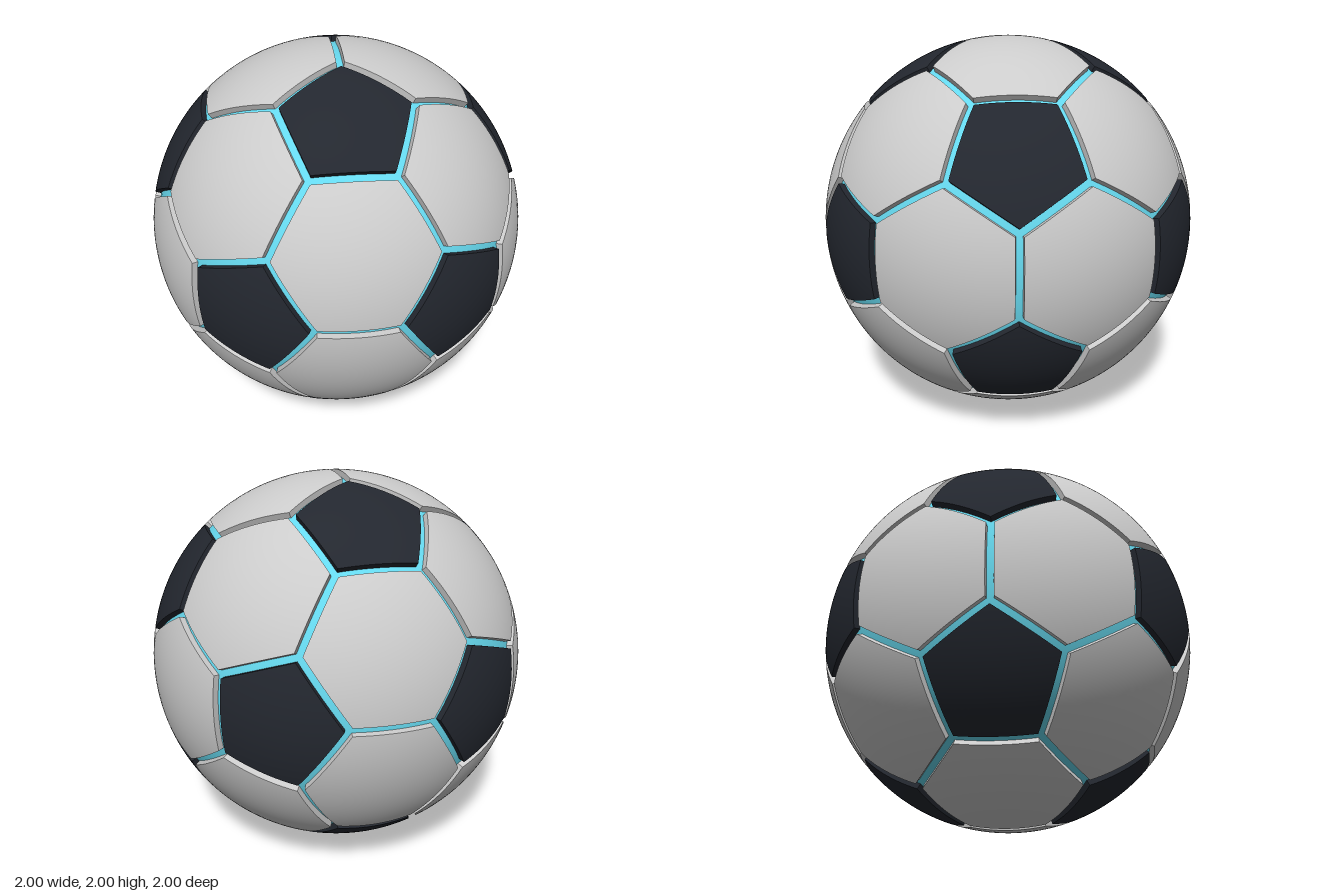
import * as THREE from 'three';
import { mergeGeometries } from 'three/addons/utils/BufferGeometryUtils.js';

const STEPS = 10;            // subdivisions along each panel edge
const OUTER = 1, CORE = 0.97, ROOT = 0.955;
const GAP_TOP = 0.021, GAP_ROOT = 0.016; // half widths of the seam

// Twelve icosahedron corners, the centres of the pentagons
function icosahedronCorners() {
  const phi = (1 + Math.sqrt(5)) / 2, out = [];
  for (const a of [-1, 1]) for (const b of [-phi, phi]) {
    out.push(new THREE.Vector3(a, 0, b), new THREE.Vector3(b, a, 0), new THREE.Vector3(0, b, a));
  }
  return out;
}

// Corner of the truncated solid, a third of the way from a to b
const cut = (a, b) => a.clone().lerp(b, 1 / 3).normalize();

// Put corners in counter-clockwise order seen from outside
function sortAround(corners) {
  const n = corners.reduce((s, c) => s.add(c), new THREE.Vector3()).normalize();
  const u = corners[0].clone().addScaledVector(n, -corners[0].dot(n)).normalize();
  const v = n.clone().cross(u);
  const angle = (c) => Math.atan2(c.dot(v), c.dot(u));
  return corners.slice().sort((a, b) => angle(a) - angle(b));
}

function soup(triangles, radial) {
  const g = new THREE.BufferGeometry().setFromPoints(triangles);
  if (radial) {
    g.setAttribute('normal', new THREE.Float32BufferAttribute(
      triangles.flatMap((p) => p.clone().normalize().toArray()), 3));
  } else g.computeVertexNormals();
  return g;
}

// Domed panel with side walls that narrow the seam towards the core
function panelGeometry(unsorted) {
  const corners = sortAround(unsorted), n = corners.length;
  const centre = corners.reduce((s, c) => s.add(c), new THREE.Vector3()).divideScalar(n);
  const apothem = corners[0].clone().lerp(corners[1], 0.5).distanceTo(centre);
  const point = (ring, k, gap, radius) => {
    const i = Math.floor(k / STEPS) % n;
    const edge = corners[i].clone().lerp(corners[(i + 1) % n], (k % STEPS) / STEPS);
    return centre.clone().lerp(edge, ring * (1 - gap / apothem)).setLength(radius);
  };
  const cap = [], wall = [];
  for (let k = 0; k < n * STEPS; k++) {
    for (let r = 0; r < STEPS; r++) {
      const a = point(r / STEPS, k, GAP_TOP, OUTER), b = point((r + 1) / STEPS, k, GAP_TOP, OUTER);
      const c = point((r + 1) / STEPS, k + 1, GAP_TOP, OUTER), d = point(r / STEPS, k + 1, GAP_TOP, OUTER);
      cap.push(a, b, c);
      if (r > 0) cap.push(a, c, d);
    }
    const a = point(1, k, GAP_TOP, OUTER), b = point(1, k, GAP_ROOT, ROOT);
    const c = point(1, k + 1, GAP_ROOT, ROOT), d = point(1, k + 1, GAP_TOP, OUTER);
    wall.push(a, b, c, a, c, d);
  }
  return mergeGeometries([soup(cap, true), soup(wall, false)]);
}

export function createModel() {
  const ball = new THREE.Group();
  ball.name = 'ball';
  const pale = new THREE.MeshStandardMaterial({ color: 0xcccccc });
  const dark = new THREE.MeshStandardMaterial({ color: 0x23272f });
  const cyan = new THREE.MeshStandardMaterial({ color: 0x66d9ef });
  const add = (name, geometry, material) => {
    const mesh = new THREE.Mesh(geometry, material);
    mesh.name = name;
    ball.add(mesh);
  };

  // Inner sphere that shows through the seams
  add('core', new THREE.SphereGeometry(CORE, 96, 64), cyan);

  const pts = icosahedronCorners();
  const joined = (a, b) => Math.abs(a.distanceTo(b) - 2) < 0.01;

  // Dark pentagons, one per icosahedron corner
  pts.forEach((p) => {
    add('pentagonPanel', panelGeometry(pts.filter((q) => joined(p, q)).map((q) => cut(p, q))), dark);
  });

  // Pale hexagons, one per icosahedron face
  for (let i = 0; i < 12; i++) for (let j = i + 1; j < 12; j++) for (let k = j + 1; k < 12; k++) {
    const [a, b, c] = [pts[i], pts[j], pts[k]];
    if (!joined(a, b) || !joined(b, c) || !joined(a, c)) continue;
    add('hexagonPanel', panelGeometry(
      [cut(a, b), cut(b, a), cut(b, c), cut(c, b), cut(c, a), cut(a, c)]), pale);
  }

  ball.position.y = OUTER;
  const model = new THREE.Group();
  model.name = 'panelledBall';
  model.add(ball);
  return model;
}
